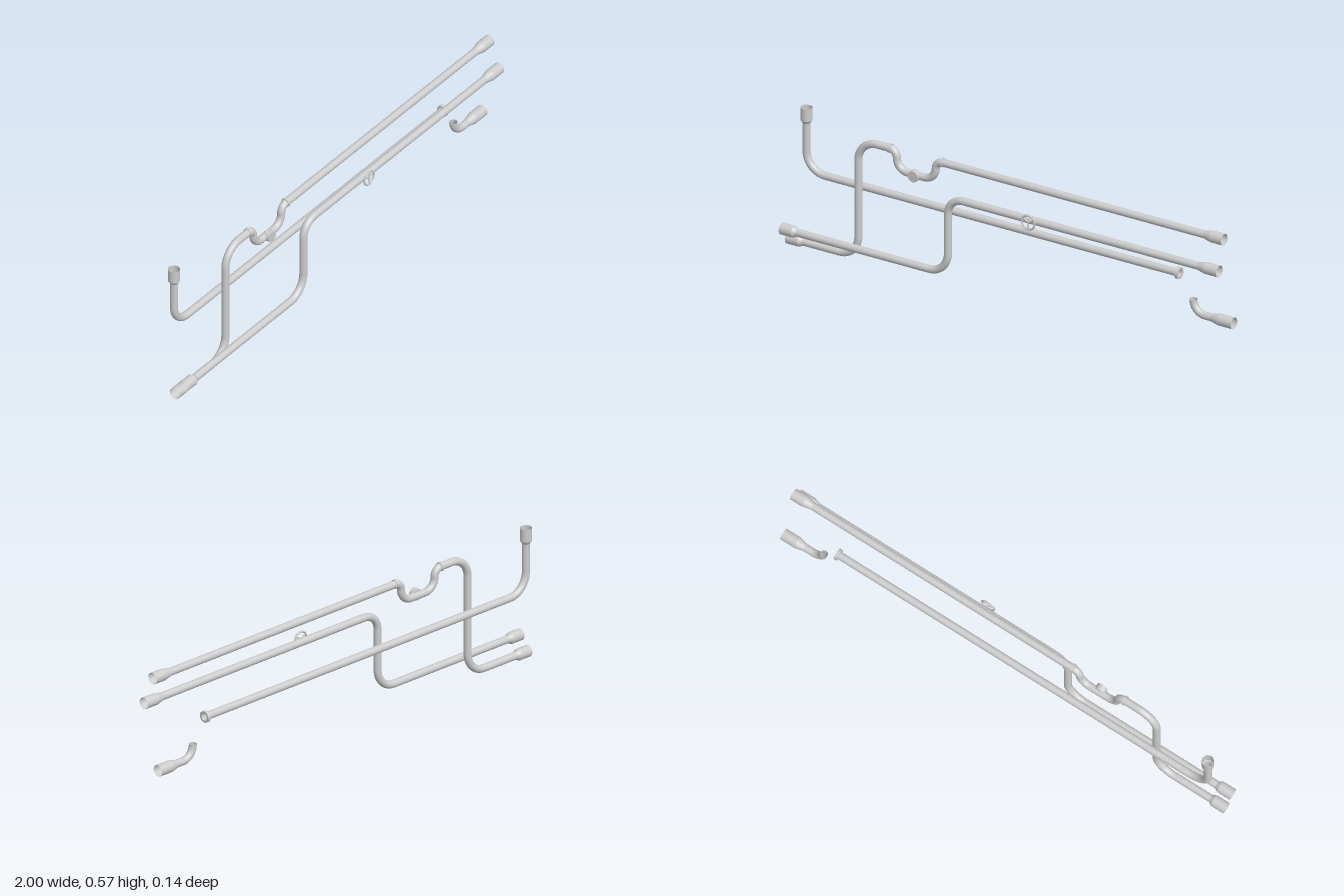
import * as THREE from 'three';

const PIPE_R = 0.0155, SOCKET_R = 0.0235, SIDES = 20;
const mat = new THREE.MeshStandardMaterial({ color: 0xcccccc, side: THREE.DoubleSide });

function addMesh(parent, name, geometry) {
  const mesh = new THREE.Mesh(geometry, mat);
  mesh.name = name;
  parent.add(mesh);
  return mesh;
}

// Pipe through corner points [x, y, bendRadius], with straight runs and round elbows
function addPipe(parent, points) {
  const v = points.map(([x, y]) => new THREE.Vector3(x, y, 0));
  let from = v[0];
  const straight = (a, b) =>
    addMesh(parent, 'straightPipe', new THREE.TubeGeometry(new THREE.LineCurve3(a, b), 1, PIPE_R, SIDES));
  for (let i = 1; i < v.length - 1; i++) {
    const r = points[i][2], k = r * 0.4477;
    const back = v[i - 1].clone().sub(v[i]).normalize();
    const ahead = v[i + 1].clone().sub(v[i]).normalize();
    const at = (dir, d) => v[i].clone().addScaledVector(dir, d);
    const start = at(back, r), end = at(ahead, r);
    if (from.distanceTo(start) > 1e-4) straight(from, start);
    const arc = new THREE.CubicBezierCurve3(start, at(back, k), at(ahead, k), end);
    addMesh(parent, 'elbow', new THREE.TubeGeometry(arc, 12, PIPE_R, SIDES));
    from = end;
  }
  straight(from, v[v.length - 1]);
}

// Open socket whose mouth is at x, y; angle turns its +y axis in the xy plane
function addSocket(parent, x, y, angle, length, taper) {
  const p = (r, h) => new THREE.Vector2(r, h);
  const socket = new THREE.Group();
  socket.name = 'socket';
  addMesh(socket, 'socketTaper', new THREE.LatheGeometry([p(PIPE_R, -length - taper), p(SOCKET_R, -length)], SIDES));
  addMesh(socket, 'socketSleeve', new THREE.LatheGeometry([p(SOCKET_R, -length), p(SOCKET_R, 0)], SIDES));
  socket.position.set(x, y, 0);
  socket.rotation.z = angle;
  parent.add(socket);
}

// Flat ring around a pipe running along x
function addCollar(parent, name, x, y, radius, width) {
  const r = PIPE_R - 0.001, h = width / 2;
  const wall = [[r, -h], [radius, -h], [radius, h], [r, h]].map(([a, b]) => new THREE.Vector2(a, b));
  const geometry = new THREE.LatheGeometry(wall, SIDES).toNonIndexed();
  geometry.computeVertexNormals();
  const collar = addMesh(parent, name, geometry);
  collar.position.set(x, y, 0);
  collar.rotation.z = -Math.PI / 2;
}

export function createModel() {
  const model = new THREE.Group();
  model.name = 'pipes';
  const line = (name, z) => {
    const g = new THREE.Group();
    g.name = name;
    g.position.z = z;
    model.add(g);
    return g;
  };
  const LEFT = -Math.PI / 2, RIGHT = Math.PI / 2;

  // Middle pipe with the U-shaped dip
  const trap = line('trapPipe', 0);
  addPipe(trap, [
    [-0.945, 0.025], [-0.68, 0.025, 0.085], [-0.68, 0.52, 0.085],
    [-0.505, 0.52, 0.032], [-0.505, 0.437, 0.05],
    [-0.328, 0.437, 0.05], [-0.328, 0.52, 0.032], [0.93, 0.52],
  ]);
  addSocket(trap, -1, 0.025, RIGHT, 0.055, 0.015);
  addSocket(trap, 0.985, 0.52, LEFT, 0.055, 0.035);
  for (const x of [-0.535, -0.298]) addCollar(trap, 'trapCollar', x, 0.52, 0.0185, 0.012);
  const plug = addMesh(trap, 'drainPlug', new THREE.CylinderGeometry(0.023, 0.023, 0.026, SIDES));
  plug.rotation.x = Math.PI / 2;
  plug.position.set(-0.417, 0.438, 0.012);

  // Front pipe with the valve
  const valve = line('valvePipe', 0.043);
  addPipe(valve, [
    [-0.945, 0.08], [-0.245, 0.08, 0.085], [-0.245, 0.404, 0.07], [0.93, 0.404],
  ]);
  addSocket(valve, -1, 0.08, RIGHT, 0.055, 0.015);
  addSocket(valve, 0.99, 0.404, LEFT, 0.06, 0.035);

  // Hand wheel: rim, spokes and stem
  const wheel = new THREE.Group();
  wheel.name = 'handWheel';
  wheel.position.set(0.137, 0.404, 0.025);
  addMesh(wheel, 'wheelRim', new THREE.TorusGeometry(0.029, 0.004, 8, 28));
  for (let i = 0; i < 3; i++) {
    const a = Math.PI / 6 + (i * Math.PI * 2) / 3;
    const spoke = addMesh(wheel, 'wheelSpoke', new THREE.CylinderGeometry(0.003, 0.003, 0.029, 8));
    spoke.position.set(Math.cos(a) * 0.0145, Math.sin(a) * 0.0145, 0);
    spoke.rotation.z = a - Math.PI / 2;
  }
  const stem = addMesh(wheel, 'wheelStem', new THREE.CylinderGeometry(0.005, 0.005, 0.018, 10));
  stem.rotation.x = Math.PI / 2;
  stem.position.z = -0.006;
  valve.add(wheel);

  // Rear pipe with an upright socket and an end flange
  const rear = line('rearPipe', -0.045);
  addPipe(rear, [[-0.945, 0.52], [-0.945, 0.303, 0.085], [0.754, 0.303]]);
  addSocket(rear, -0.945, 0.571, 0, 0.052, 0.013);
  addCollar(rear, 'endFlange', 0.749, 0.303, SOCKET_R, 0.013);

  // Loose elbow
  const loose = line('looseElbow', -0.045);
  addPipe(loose, [[0.815, 0.21], [0.815, 0.153, 0.055], [0.93, 0.153]]);
  addSocket(loose, 1, 0.153, LEFT, 0.065, 0.035);

  return model;
}
